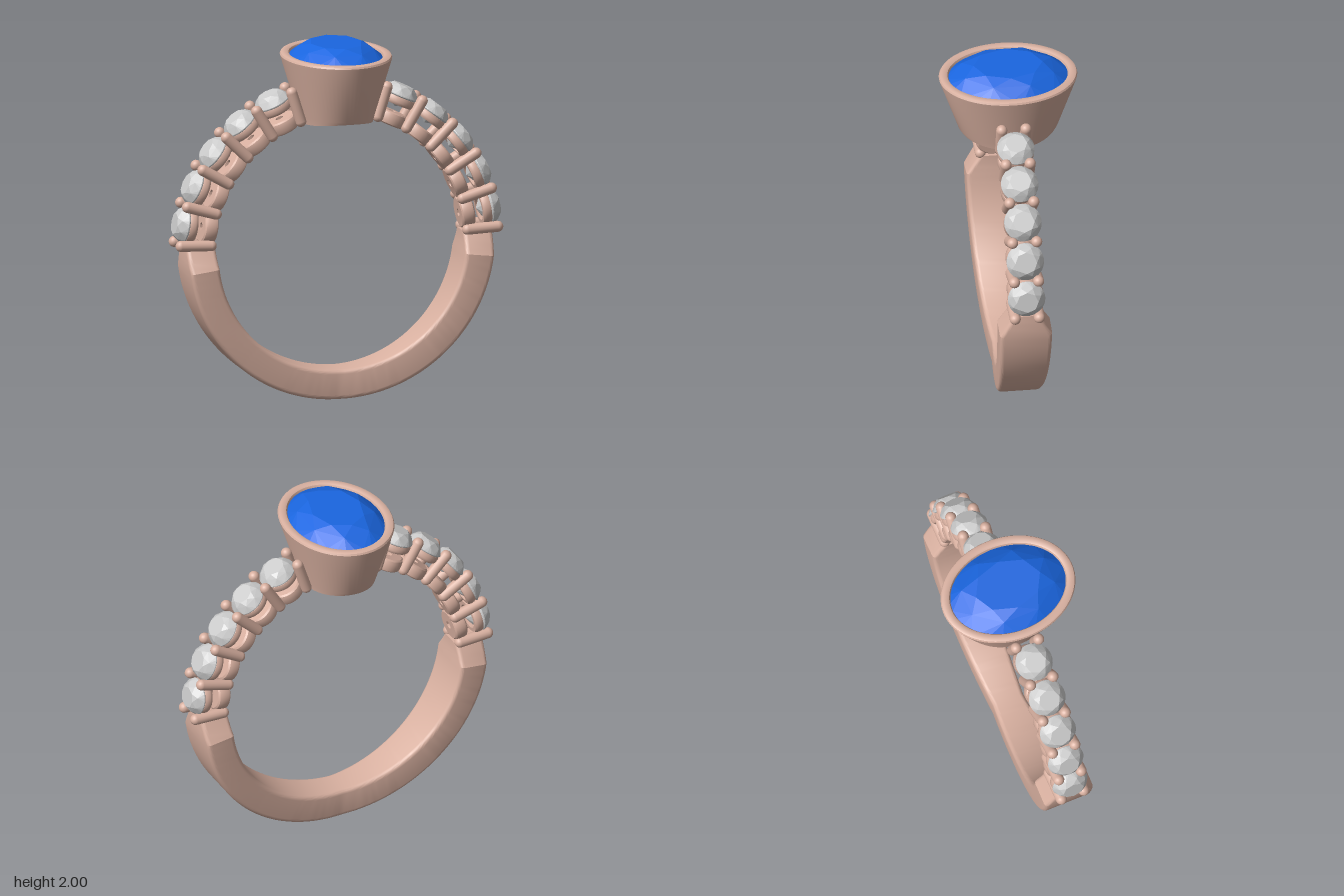
import * as THREE from 'three';
import { toCreasedNormals } from 'three/addons/utils/BufferGeometryUtils.js';
import { ConvexGeometry } from 'three/addons/geometries/ConvexGeometry.js';

const HUB = 0.878;    // height of the ring's centre
const INNER = 0.71;   // finger radius
const OUTER = 0.877;
const rad = THREE.MathUtils.degToRad;

const metal = new THREE.MeshStandardMaterial({ color: 0xd8b0a0 });
const blue = new THREE.MeshStandardMaterial({ color: 0x1a66e0, flatShading: true });
const clear = new THREE.MeshStandardMaterial({ color: 0xcccccc, flatShading: true });

function mesh(name, geometry, material) {
  const m = new THREE.Mesh(geometry, material);
  m.name = name;
  return m;
}

function lathe(points, segments) {
  return new THREE.LatheGeometry(points.map(([r, y]) => new THREE.Vector2(r, y)), segments);
}

// Round brilliant of girdle radius 1, girdle at y = 0
function brilliant(crown, pavilion) {
  const pts = [];
  const ring = (r, y, n, shift = 0) => {
    for (let i = 0; i < n; i++) {
      const a = ((i + shift) / n) * Math.PI * 2;
      pts.push(new THREE.Vector3(r * Math.sin(a), y, r * Math.cos(a)));
    }
  };
  ring(0.58, crown, 8);
  ring(0.81, crown * 0.63, 8, 0.5);
  ring(1, 0, 32);
  ring(1, -0.05, 32);
  ring(0.5, -0.05 - pavilion * 0.56, 8, 0.5);
  pts.push(new THREE.Vector3(0, -pavilion, 0));
  return new ConvexGeometry(pts);
}

// Half width of the band: narrow shoulders flaring out, then tapering to the bottom
function bandHalfWidth(t) {
  const drop = 1 - Math.abs(2 * t - 1);        // 0 at the ends, 1 at the bottom
  const flare = 0.1;
  if (drop <= flare) return THREE.MathUtils.lerp(0.07, 0.145, drop / flare);
  const k = (drop - flare) / (1 - flare);
  return THREE.MathUtils.lerp(0.145, 0.09, Math.pow(k, 1.4));
}

// Lower band: rounded rectangle swept round the bottom half
function bandGeometry() {
  const steps = 100, corner = 5, round = 0.024;
  const start = rad(2), end = rad(-182);
  const mid = (INNER + OUTER) / 2, half = (OUTER - INNER) / 2;
  const n = 4 * (corner + 1);
  const pos = [], index = [];
  for (let s = 0; s <= steps; s++) {
    const t = s / steps, a = start + (end - start) * t, w = bandHalfWidth(t);
    for (let q = 0; q < 4; q++) {
      const sr = q === 0 || q === 3 ? 1 : -1, sz = q < 2 ? 1 : -1;
      for (let c = 0; c <= corner; c++) {
        const b = (q + c / corner) * Math.PI / 2;
        const r = mid + sr * (half - round) + round * Math.cos(b);
        const z = sz * (w - round) + round * Math.sin(b);
        pos.push(r * Math.cos(a), r * Math.sin(a), z);
      }
    }
  }
  for (let s = 0; s < steps; s++) {
    for (let i = 0; i < n; i++) {
      const j = (i + 1) % n, a = s * n + i, b = s * n + j;
      index.push(a, a + n, b, b, a + n, b + n);
    }
  }
  const last = steps * n;
  for (let i = 1; i < n - 1; i++) {
    index.push(0, i, i + 1);
    index.push(last, last + i + 1, last + i);
  }
  const g = new THREE.BufferGeometry();
  g.setAttribute('position', new THREE.Float32BufferAttribute(pos, 3));
  g.setIndex(index);
  // Wind the faces outward
  const p = new THREE.Vector3(pos[0], pos[1], pos[2]);
  const e1 = new THREE.Vector3(pos[n * 3], pos[n * 3 + 1], pos[n * 3 + 2]).sub(p);
  const e2 = new THREE.Vector3(pos[3], pos[4], pos[5]).sub(p);
  if (e1.cross(e2).dot(new THREE.Vector3(1, 0, 0)) < 0) {
    for (let i = 0; i < index.length; i += 3) [index[i], index[i + 1]] = [index[i + 1], index[i]];
    g.setIndex(index);
  }
  return toCreasedNormals(g, 0.4);
}

// Oval cup with a thick rounded rim; its underside follows the finger hole
function bezelGeometry() {
  const g = lathe([
    [0, 1.64], [0.095, 1.64], [0.095, 1.58], [0.13, 1.58], [0.165, 1.58], [0.198, 1.58],
    [0.207, 1.605], [0.3, 1.915], [0.303, 1.927], [0.298, 1.937], [0.287, 1.942],
    [0.265, 1.942], [0.255, 1.937], [0.249, 1.925], [0.245, 1.89], [0.11, 1.665], [0, 1.655],
  ], 72);
  const p = g.attributes.position;
  for (let i = 0; i < p.count; i++) {
    const x = p.getX(i), z = p.getZ(i), r = Math.hypot(x, z);
    if (r > 0) p.setZ(i, z * Math.min(1.33, 1 + 0.08 / r));
    if (p.getY(i) < 1.59) p.setY(i, HUB + Math.sqrt(INNER * INNER - x * x));
  }
  return toCreasedNormals(g, 0.6);
}

export function createModel() {
  const model = new THREE.Group();
  model.name = 'ring';

  const band = mesh('band', bandGeometry(), metal);
  band.position.y = HUB;
  model.add(band);

  // Centre setting
  model.add(mesh('bezel', bezelGeometry(), metal));
  const gem = mesh('centreStone', brilliant(0.3, 0.95), blue);
  gem.scale.set(0.25, 0.25, 0.33);
  gem.position.y = 1.925;
  model.add(gem);

  // Shared parts of the shoulder settings, built along +y from the ring's centre
  const stoneGeo = brilliant(0.5, 0.72);
  const prongGeo = new THREE.CapsuleGeometry(0.031, 0.172, 6, 16);
  const baseGeo = toCreasedNormals(lathe([
    [0.022, 0.71], [0.08, 0.71], [0.09, 0.717], [0.094, 0.73], [0.094, 0.765],
    [0.09, 0.778], [0.08, 0.785], [0.022, 0.785], [0.022, 0.71],
  ], 36), 0.6);
  const collarGeo = toCreasedNormals(lathe([
    [0.07, 0.83], [0.092, 0.83], [0.099, 0.837], [0.102, 0.847], [0.102, 0.865],
    [0.098, 0.876], [0.09, 0.88], [0.078, 0.876], [0.07, 0.83],
  ], 36), 0.6);

  const spoke = (name, angle) => {
    const g = new THREE.Group();
    g.name = name;
    g.position.y = HUB;
    g.rotation.z = angle;
    model.add(g);
    return g;
  };

  for (const side of [1, -1]) {
    const label = side > 0 ? 'left' : 'right';
    const tilt = (deg) => -side * rad(90 - deg);
    // Pairs of prongs
    for (let i = 0; i < 6; i++) {
      const pair = spoke(label + 'ProngPair', tilt(2.5 + 14 * i));
      for (const z of [-0.067, 0.067]) {
        const prong = mesh('prong', prongGeo, metal);
        prong.position.set(0, 0.823, z);
        pair.add(prong);
      }
    }
    // Small stones with their base discs and collars
    for (let i = 0; i < 5; i++) {
      const setting = spoke(label + 'StoneSetting', tilt(9.5 + 14 * i));
      const stone = mesh('sideStone', stoneGeo, clear);
      stone.scale.set(0.104, 0.104, 0.104);
      stone.position.y = 0.888;
      setting.add(stone, mesh('baseDisc', baseGeo, metal), mesh('collar', collarGeo, metal));
    }
  }
  return model;
}
